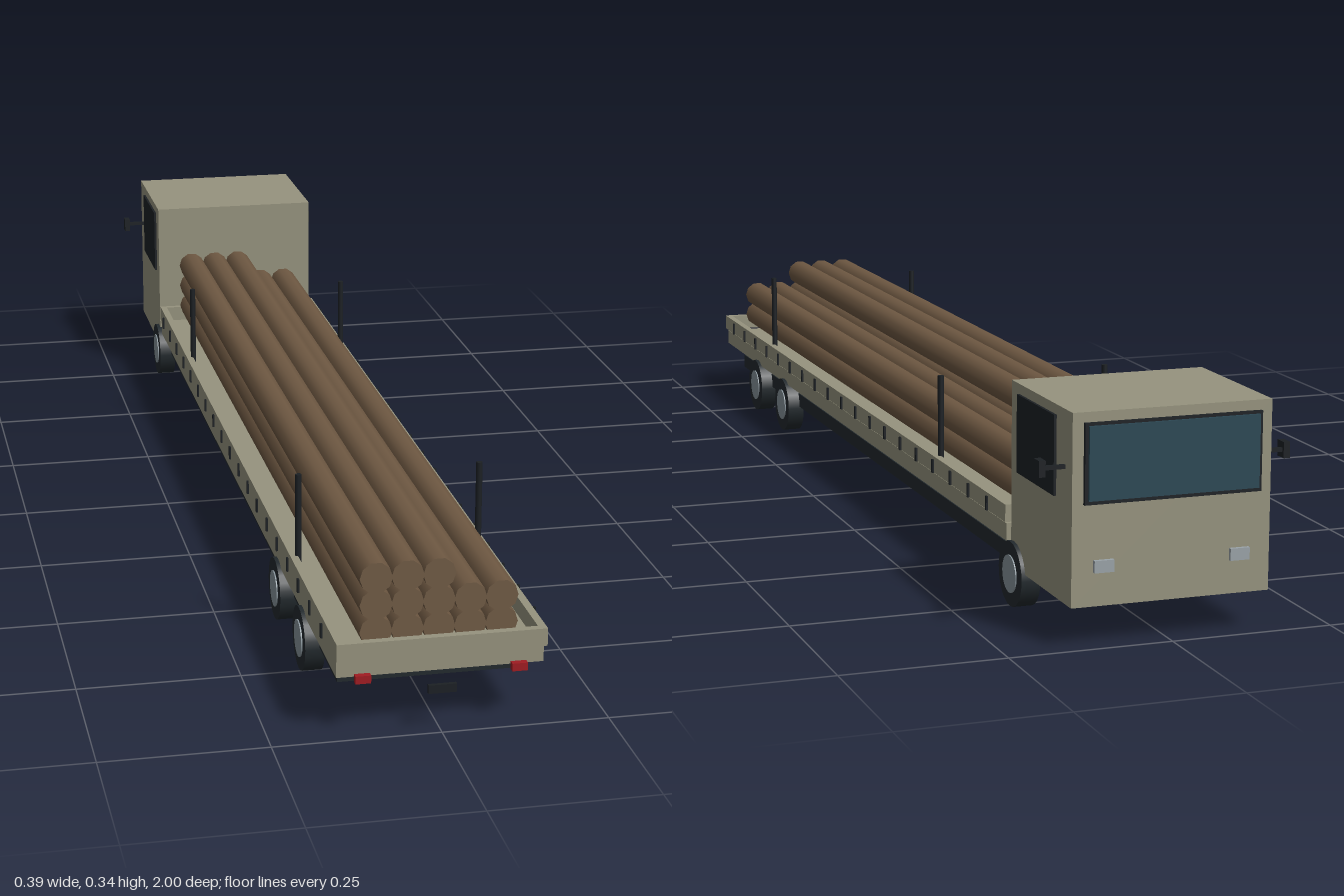
import * as THREE from 'three';

const mat = (color) => new THREE.MeshStandardMaterial({ color });

export function createModel() {
  const model = new THREE.Group();
  const paint = mat(0x96937e), dark = mat(0x22292d), black = mat(0x1c2024);
  const glass = mat(0x2b4854), bark = mat(0x6e5842), cutWood = mat(0x705b45);
  const steel = mat(0x87939a), red = mat(0xa01c22), lamp = mat(0x9aa3a8);

  const add = (name, geometry, material, x, y, z) => {
    const mesh = new THREE.Mesh(geometry, material);
    mesh.name = name;
    mesh.position.set(x, y, z);
    model.add(mesh);
    return mesh;
  };
  // Box given by its limits along each axis
  const box = (name, material, [x0, x1], [y0, y1], [z0, z1]) =>
    add(name, new THREE.BoxGeometry(x1 - x0, y1 - y0, z1 - z0), material,
      (x0 + x1) / 2, (y0 + y1) / 2, (z0 + z1) / 2);
  // Box and its mirror image across x = 0
  const pair = (name, material, [x0, x1], y, z) => {
    box(name + 'Left', material, [x0, x1], y, z);
    box(name + 'Right', material, [-x1, -x0], y, z);
  };

  // Chassis and cab
  box('chassis', dark, [-0.137, 0.137], [0.053, 0.078], [-0.91, 0.915]);
  box('cab', paint, [-0.153, 0.153], [0.06, 0.343], [-0.99, -0.743]);
  box('windscreenFrame', black, [-0.136, 0.136], [0.21, 0.328], [-0.996, -0.988]);
  box('windscreen', glass, [-0.131, 0.131], [0.216, 0.324], [-1, -0.992]);
  pair('sideWindow', black, [0.15, 0.157], [0.21, 0.328], [-0.928, -0.775]);
  pair('headlight', lamp, [0.09, 0.12], [0.11, 0.128], [-0.996, -0.988]);
  pair('mirrorArm', black, [0.15, 0.185], [0.257, 0.263], [-0.963, -0.957]);
  pair('mirror', black, [0.184, 0.194], [0.248, 0.272], [-0.967, -0.946]);

  // Flat bed with a low board on every edge
  box('bedFloor', paint, [-0.153, 0.153], [0.092, 0.119], [-0.722, 0.985]);
  pair('sideBoard', paint, [0.143, 0.155], [0.121, 0.148], [-0.722, 0.997]);
  box('frontBoard', paint, [-0.143, 0.143], [0.121, 0.148], [-0.722, -0.712]);
  box('tailBoard', paint, [-0.143, 0.143], [0.121, 0.148], [0.985, 0.997]);

  // Lashing cleats along the side boards
  for (let i = 0; i < 19; i++) {
    const z = 0.91 - i * 0.0867;
    pair('cleat', black, [0.158, 0.161], [0.123, 0.145], [z - 0.003, z + 0.003]);
  }

  // Upright stakes
  const stake = new THREE.CylinderGeometry(0.005, 0.005, 0.162, 10);
  for (const z of [0.65, -0.38])
    for (const side of [-1, 1]) add('stake', stake, black, side * 0.142, 0.199, z);

  // Log load: two full rows and a short third one
  const log = new THREE.CylinderGeometry(0.0242, 0.0242, 1.68, 10, 1, false, Math.PI / 2);
  log.rotateX(Math.PI / 2);
  [5, 5, 3].forEach((count, row) => {
    for (let i = 0; i < count; i++)
      add('log', log, [bark, cutWood, cutWood], (i - 2) * 0.0463, 0.153 + row * 0.041, 0.132);
  });

  // Wheels: tyre with a hub disc on the outside
  const tyre = new THREE.CylinderGeometry(0.05, 0.05, 0.03, 24).rotateZ(Math.PI / 2);
  const hub = new THREE.CylinderGeometry(0.029, 0.029, 0.032, 20).rotateZ(Math.PI / 2);
  for (const z of [0.74, 0.54, -0.755])
    for (const side of [-1, 1]) {
      add('tyre', tyre, dark, side * 0.144, 0.05, z);
      add('hub', hub, steel, side * 0.145, 0.05, z);
    }

  // Rear lights and plate
  pair('tailLight', red, [0.104, 0.127], [0.084, 0.096], [0.985, 0.995]);
  box('rearPlate', black, [-0.021, 0.021], [0.062, 0.075], [0.994, 1]);

  return model;
}
